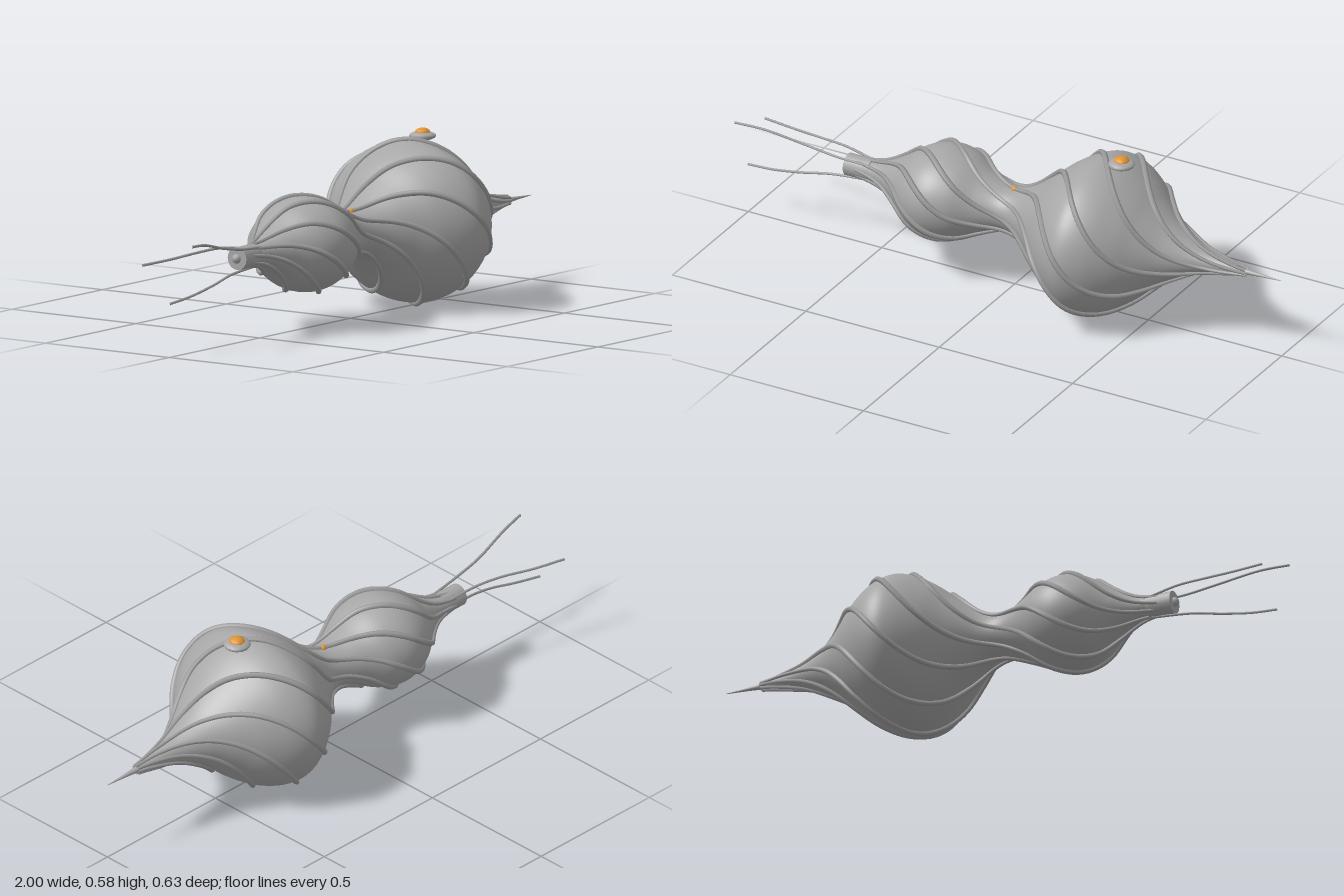
import * as THREE from 'three';

const AXIS_Y = 0.28; // height of the long axis
const SQUASH = 0.88; // body is slightly flatter than wide
const RIBS = 8;
const TWIST = 4.5; // radians of rib turn per unit length

// body profile: position along x, half width
const PROFILE = [
  [-0.6, 0.03], [-0.5, 0.045], [-0.42, 0.09], [-0.34, 0.153], [-0.26, 0.178], [-0.18, 0.16],
  [-0.1, 0.112], [-0.02, 0.084], [0.05, 0.1], [0.13, 0.165], [0.2, 0.235], [0.27, 0.285],
  [0.33, 0.302], [0.4, 0.278], [0.47, 0.225], [0.53, 0.165], [0.6, 0.105], [0.7, 0.05],
  [0.8, 0.024], [0.88, 0.01], [1, 0.001],
];

const mat = (name, color) => {
  const m = new THREE.MeshStandardMaterial({ color });
  m.name = name;
  return m;
};

export function createModel() {
  const group = new THREE.Group();
  const shell = mat('shell grey', 0xa6a6a6);
  const ribGrey = mat('rib grey', 0x9c9c9c);
  const amber = mat('amber', 0xe0932f);

  const add = (name, geometry, material, x = 0, y = 0, z = 0) => {
    const mesh = new THREE.Mesh(geometry, material);
    mesh.name = name;
    mesh.position.set(x, y, z);
    group.add(mesh);
    return mesh;
  };

  // two-lobed body, turned about the x axis
  const profile = new THREE.SplineCurve(PROFILE.map(([x, r]) => new THREE.Vector2(r, x)));
  const outline = profile.getPoints(120);
  const body = new THREE.LatheGeometry([new THREE.Vector2(0, -0.6), ...outline], 64);
  body.rotateZ(-Math.PI / 2);
  body.scale(1, SQUASH, 1);
  add('body', body, shell, 0, AXIS_Y, 0);

  const radiusAt = (x) => {
    const i = Math.max(1, outline.findIndex((p) => p.y >= x));
    const a = outline[i - 1], b = outline[i];
    return THREE.MathUtils.lerp(a.x, b.x, (x - a.y) / (b.y - a.y));
  };

  // spiral ribs, thinner towards the tail
  const STEPS = 110, SIDES = 6, THICK = 0.01;
  for (let k = 0; k < RIBS; k++) {
    const points = [];
    for (let i = 0; i <= 70; i++) {
      const x = -0.58 + (1.45 * i) / 70;
      const a = (k * 2 * Math.PI) / RIBS + 0.1 + TWIST * (0.32 - x);
      const r = radiusAt(x) + 0.003;
      points.push(new THREE.Vector3(x, r * SQUASH * Math.cos(a), -r * Math.sin(a)));
    }
    const curve = new THREE.CatmullRomCurve3(points);
    const tube = new THREE.TubeGeometry(curve, STEPS, THICK, SIDES);
    const pos = tube.attributes.position;
    const v = new THREE.Vector3();
    for (let i = 0; i <= STEPS; i++) {
      const c = curve.getPointAt(i / STEPS);
      const s = THREE.MathUtils.clamp(0.5 + radiusAt(c.x) * 3, 0.55, 1);
      for (let j = 0; j <= SIDES; j++) {
        const n = i * (SIDES + 1) + j;
        v.fromBufferAttribute(pos, n).sub(c).multiplyScalar(s).add(c);
        pos.setXYZ(n, v.x, v.y, v.z);
      }
    }
    add('spiralRib', tube, ribGrey, 0, AXIS_Y, 0);
  }

  // nose collar and its small tip
  const collar = new THREE.CylinderGeometry(0.038, 0.038, 0.09, 16);
  collar.rotateZ(Math.PI / 2);
  add('noseCollar', collar, shell, -0.58, AXIS_Y, 0);
  const tip = new THREE.SphereGeometry(0.016, 10, 8);
  add('noseTip', tip, shell, -0.626, AXIS_Y, 0);

  // three trailing feelers
  const feelers = [
    [[-1, 0.375, 0.09], [-0.9, 0.366, 0.07], [-0.76, 0.335, 0.045], [-0.64, 0.316, 0.036], [-0.53, 0.308, 0.025]],
    [[-1, 0.295, -0.112], [-0.88, 0.301, -0.088], [-0.76, 0.312, -0.06], [-0.66, 0.315, -0.045], [-0.55, 0.302, -0.03]],
    [[-1, 0.178, 0], [-0.9, 0.192, 0.014], [-0.79, 0.215, 0.024], [-0.68, 0.235, 0.016], [-0.53, 0.242, 0]],
  ];
  for (const path of feelers) {
    const curve = new THREE.CatmullRomCurve3(path.map((p) => new THREE.Vector3(...p)));
    add('feeler', new THREE.TubeGeometry(curve, 30, 0.0045, 6), ribGrey);
  }

  // lens-shaped mount with an amber dome on the large lobe
  const mount = new THREE.SphereGeometry(0.045, 16, 8);
  mount.scale(1, 0.33, 1);
  add('lampMount', mount, shell, 0.4, 0.554, 0);
  const dome = new THREE.SphereGeometry(0.027, 10, 6);
  dome.scale(1, 0.6, 1);
  add('lampDome', dome, amber, 0.4, 0.564, 0);

  // small amber bead on the waist
  add('waistBead', new THREE.SphereGeometry(0.012, 8, 6), amber, 0, 0.354, 0.003);

  return group;
}
